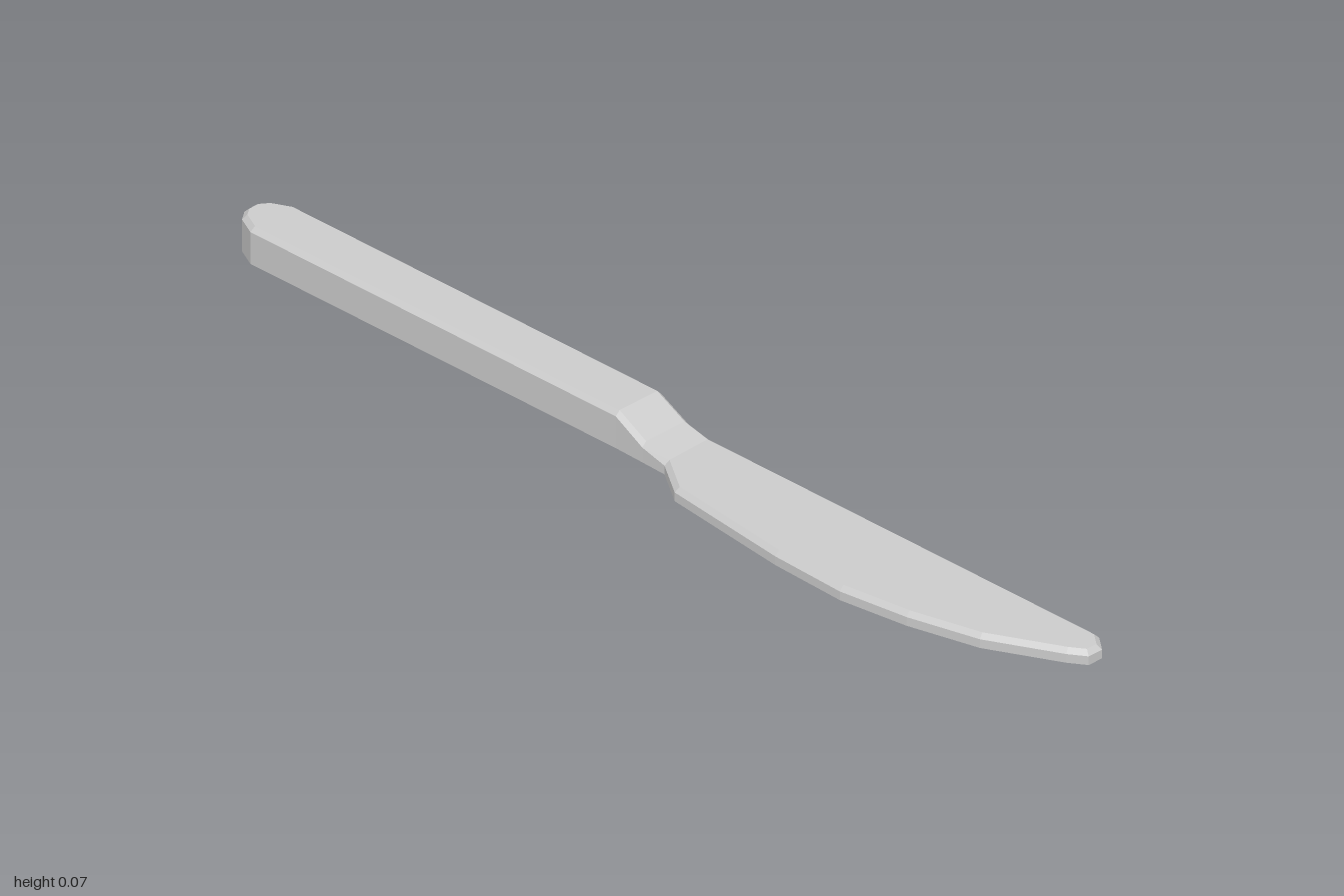
import * as THREE from 'three';

// Stations from handle end to blade tip: [z, cutting-side x, spine x, height]
const STATIONS = [
  [-1.0, 0.033, 0.06, 0.071],
  [-0.985, 0.012, 0.081, 0.071],
  [-0.945, -0.008, 0.1, 0.071],
  [-0.075, -0.008, 0.1, 0.071],
  [-0.01, -0.01, 0.1, 0.038],
  [0.045, -0.012, 0.1, 0.026],
  [0.12, -0.063, 0.1, 0.026],
  [0.39, -0.094, 0.1, 0.026],
  [0.55, -0.1, 0.1, 0.026],
  [0.69, -0.081, 0.1, 0.026],
  [0.83, -0.046, 0.1, 0.026],
  [0.968, 0.022, 0.1, 0.026],
  [1.0, 0.043, 0.075, 0.026],
];
const BEVEL = 0.009;

// Moves a closed outline inward by a constant distance, with mitred corners
function insetOutline(points, distance) {
  const n = points.length;
  const inward = (a, b) => new THREE.Vector2(b.y - a.y, a.x - b.x).normalize();
  return points.map((p, i) => {
    const n1 = inward(points[(i + n - 1) % n], p);
    const n2 = inward(p, points[(i + 1) % n]);
    const miter = n1.clone().add(n2).multiplyScalar(distance / (1 + n1.dot(n2)));
    return p.clone().add(miter);
  });
}

// Solid between a flat base and a stepped top, with a bevelled upper edge
function createKnifeGeometry(stations) {
  const m = stations.length;
  const spine = [...stations].reverse();
  const outline = [
    ...stations.map(([z, x]) => new THREE.Vector2(x, z)),
    ...spine.map(([z, , x]) => new THREE.Vector2(x, z)),
  ];
  const heights = [...stations, ...spine].map((s) => s[3]);
  const n = outline.length;
  const ring = (points, y) => points.map((p, i) => new THREE.Vector3(p.x, y(i), p.y));
  const base = ring(outline, () => 0);
  const rim = ring(outline, (i) => heights[i] - BEVEL);
  const top = ring(insetOutline(outline, BEVEL), (i) => heights[i]);

  const positions = [];
  const quad = (a, b, c, d) => {
    for (const v of [a, b, c, a, c, d]) positions.push(v.x, v.y, v.z);
  };
  // Side walls and bevel
  for (let i = 0; i < n; i++) {
    const j = (i + 1) % n;
    quad(base[i], base[j], rim[j], rim[i]);
    quad(rim[i], rim[j], top[j], top[i]);
  }
  // Top and underside, bridged from the cutting side to the spine
  for (let i = 0; i < m - 1; i++) {
    const r = n - 1 - i;
    quad(top[i], top[i + 1], top[r - 1], top[r]);
    quad(base[r], base[r - 1], base[i + 1], base[i]);
  }
  const geometry = new THREE.BufferGeometry();
  geometry.setAttribute('position', new THREE.Float32BufferAttribute(positions, 3));
  geometry.computeVertexNormals();
  return geometry;
}

export function createModel() {
  const group = new THREE.Group();
  group.name = 'tableKnife';
  const material = new THREE.MeshStandardMaterial({ color: 0xcccccc, flatShading: true });

  // Handle, ramp and blade are one continuous piece
  const knife = new THREE.Mesh(createKnifeGeometry(STATIONS), material);
  knife.name = 'handleAndBlade';
  group.add(knife);
  return group;
}
